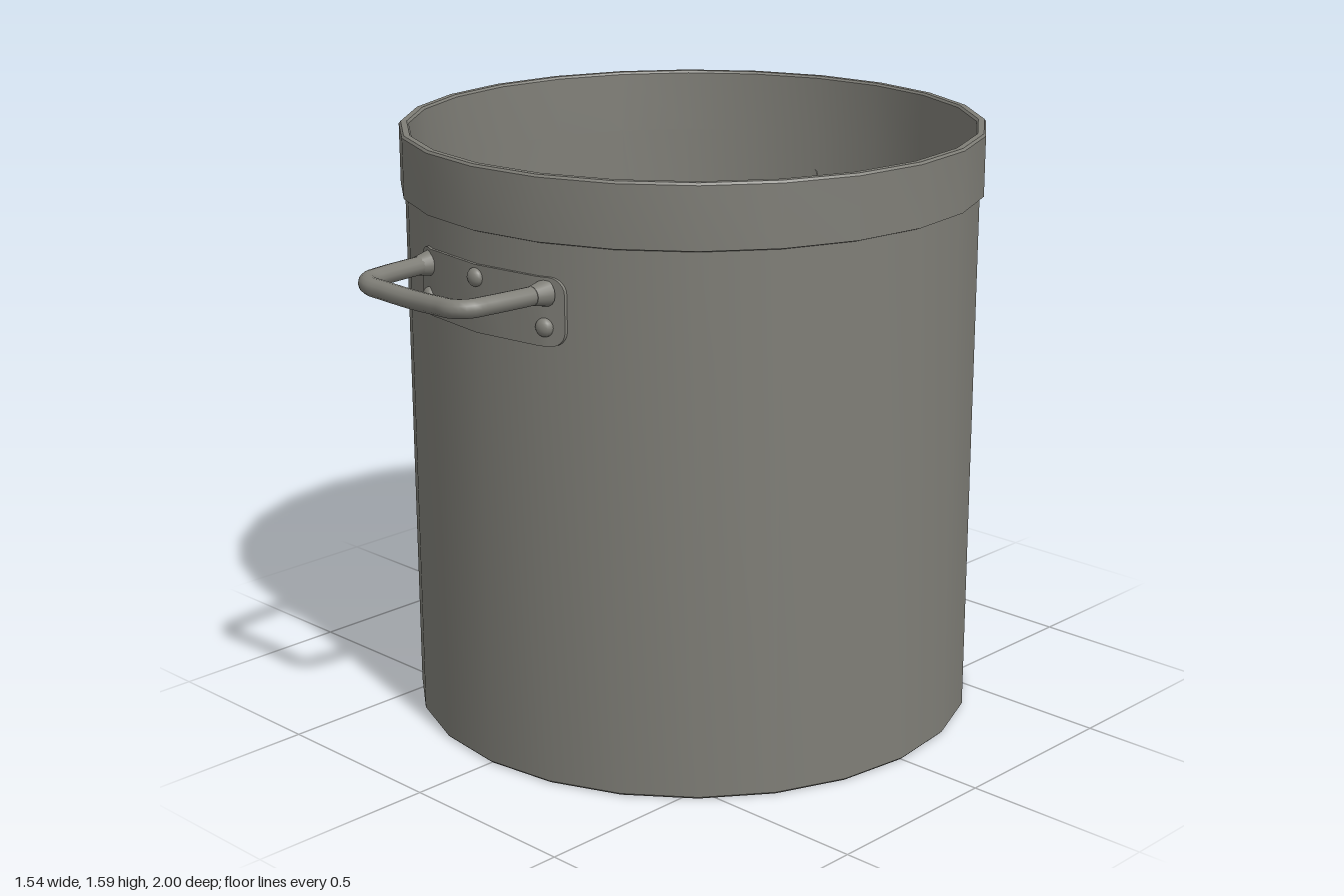
import * as THREE from 'three';
import { toCreasedNormals } from 'three/addons/utils/BufferGeometryUtils.js';

const SIDES = 24, R = 0.76, WALL = 0.018;

// Depth of the faceted pot wall at a given x
function wallZ(x, radius) {
  const step = (Math.PI * 2) / SIDES;
  const a = Math.abs(x);
  let k = 0;
  while (radius * Math.sin((k + 1) * step) < a) k++;
  const x0 = radius * Math.sin(k * step), x1 = radius * Math.sin((k + 1) * step);
  const z0 = radius * Math.cos(k * step), z1 = radius * Math.cos((k + 1) * step);
  return z0 + ((z1 - z0) * (a - x0)) / (x1 - x0);
}

// Rounded plate bent round the wall, made of upright cross-sections along x
function plateGeometry(halfW, y0, y1, corner, thick) {
  const half = [0, 0.1, 0.197];
  for (let i = 0; i <= 6; i++) half.push(halfW - corner + corner * Math.sin((i / 6) * Math.PI / 2));
  half.sort((a, b) => a - b);
  const xs = [...half.slice(1).reverse().map((x) => -x), ...half];
  const pos = [], index = [];
  xs.forEach((x, i) => {
    const d = Math.max(0, Math.abs(x) - (halfW - corner));
    const inset = corner - Math.sqrt(Math.max(0, corner * corner - d * d));
    const back = wallZ(x, R) - 0.004, front = wallZ(x, R) + thick;
    pos.push(x, y0 + inset, back, x, y0 + inset, front, x, y1 - inset, front, x, y1 - inset, back);
    if (i === 0) return;
    for (let j = 0; j < 4; j++) {
      const a = (i - 1) * 4 + j, b = (i - 1) * 4 + ((j + 1) % 4);
      index.push(a, a + 4, b, b, a + 4, b + 4);
    }
  });
  const last = (xs.length - 1) * 4;
  index.push(0, 1, 2, 0, 2, 3, last, last + 2, last + 1, last, last + 3, last + 2);
  const g = new THREE.BufferGeometry();
  g.setAttribute('position', new THREE.Float32BufferAttribute(pos, 3));
  g.setIndex(index);
  return toCreasedNormals(g, 0.6);
}

export function createModel() {
  const model = new THREE.Group();
  model.name = 'stockPot';
  const steel = new THREE.MeshStandardMaterial({ color: 0x7f7e77 });
  steel.name = 'brushed steel';

  const add = (parent, name, geometry) => {
    const mesh = new THREE.Mesh(geometry, steel);
    mesh.name = name;
    parent.add(mesh);
    return mesh;
  };

  // Pot: base, outer wall, raised band, lip, inner wall, rounded inner corner, floor
  const inner = R - WALL, fillet = 0.09, floor = 0.02;
  const profile = [
    [0, 0], [R - 0.006, 0], [R, 0.006], [R, 1.422], [0.771, 1.426],
    [0.771, 1.584], [0.766, 1.59], [0.75, 1.59], [0.745, 1.584], [inner, 1.42],
  ];
  for (let i = 0; i <= 6; i++) {
    const a = (i / 6) * Math.PI / 2;
    profile.push([inner - fillet + fillet * Math.cos(a), floor + fillet - fillet * Math.sin(a)]);
  }
  profile.push([0, floor]);
  const lathe = new THREE.LatheGeometry(profile.map(([x, y]) => new THREE.Vector2(x, y)), SIDES);
  add(model, 'potBody', toCreasedNormals(lathe, 0.6));

  // Handle path: two legs leaning in, rounded corners, a slightly dipped grip
  const halfPath = [
    [0.212, 1.3, 0.715], [0.208, 1.3, 0.8], [0.198, 1.3, 0.9],
    [0.187, 1.299, 0.95], [0.155, 1.297, 0.973], [0.1, 1.294, 0.972],
  ];
  const path = new THREE.CatmullRomCurve3([
    ...halfPath, [0, 1.29, 0.968], ...halfPath.slice().reverse().map(([x, y, z]) => [-x, y, z]),
  ].map((p) => new THREE.Vector3(...p)));

  const plate = plateGeometry(0.262, 1.167, 1.34, 0.04, 0.008);
  const grip = new THREE.TubeGeometry(path, 64, 0.024, 12);
  const collar = new THREE.CylinderGeometry(0.024, 0.034, 0.045, 16);
  const rivet = new THREE.SphereGeometry(0.024, 16, 10);

  for (const [name, turn] of [['frontHandle', 0], ['backHandle', Math.PI]]) {
    const handle = new THREE.Group();
    handle.name = name;
    handle.rotation.y = turn;
    model.add(handle);
    add(handle, 'mountPlate', plate);
    add(handle, 'grip', grip);

    // Flared feet where the grip meets the plate
    for (const s of [-1, 1]) {
      const foot = add(handle, 'gripFoot', collar);
      foot.position.set(s * 0.211, 1.3, 0.752);
      foot.rotation.x = Math.PI / 2;
    }

    // Rivet heads outside and inside the wall
    for (const [x, y] of [[-0.212, 1.215], [0, 1.308], [0.212, 1.215]]) {
      for (const [side, z] of [['outer', wallZ(x, R) + 0.008], ['inner', wallZ(x, inner)]]) {
        const head = add(handle, side + 'Rivet', rivet);
        head.position.set(x, y, z);
        head.rotation.y = Math.atan2(x, z);
        head.scale.z = 0.75;
      }
    }
  }
  return model;
}
